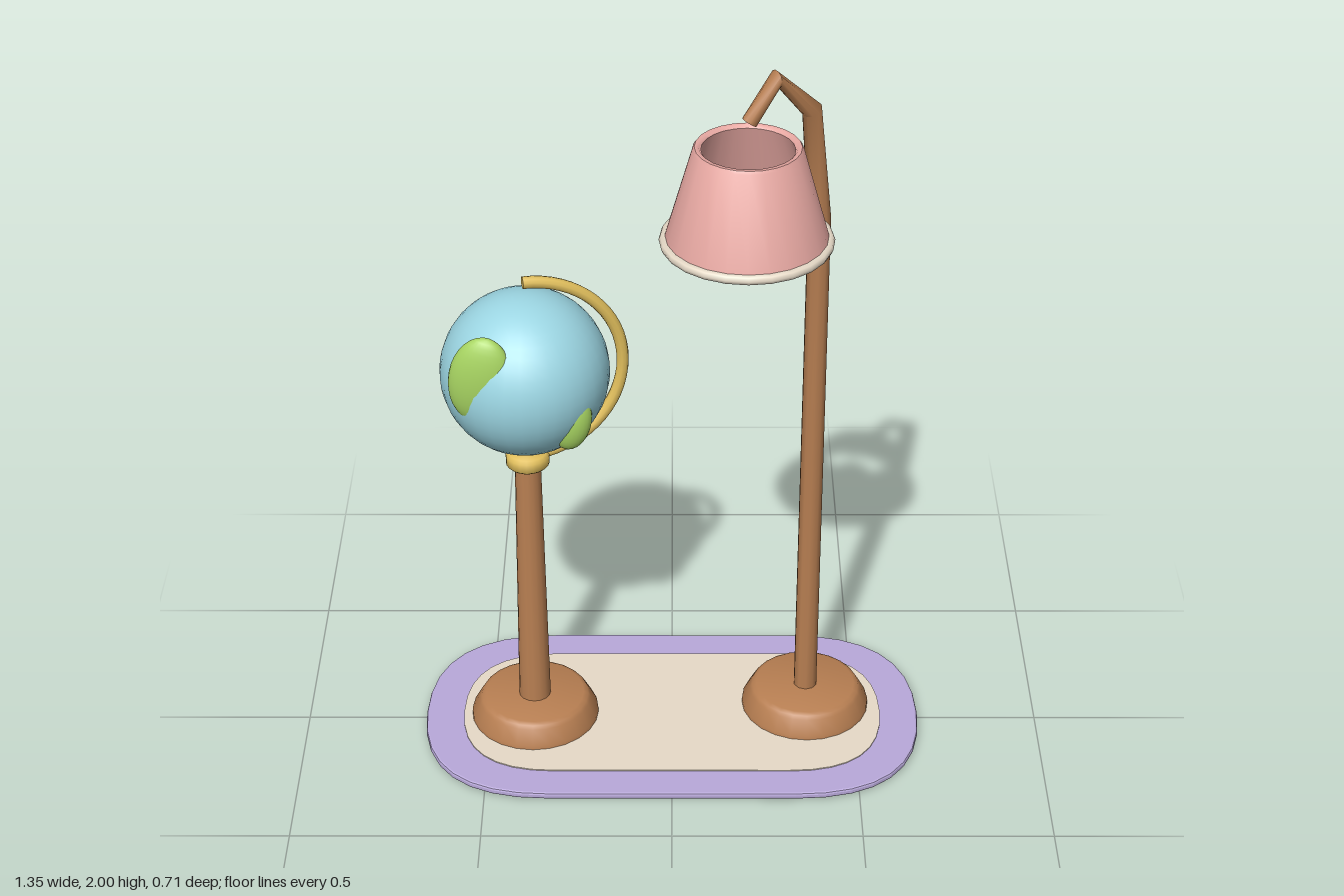
import * as THREE from 'three';
import { toCreasedNormals } from 'three/addons/utils/BufferGeometryUtils.js';

const mat = (name, color, side = THREE.FrontSide) => {
  const m = new THREE.MeshStandardMaterial({ color, side });
  m.name = name;
  return m;
};

export function createModel() {
  const wood = mat('wood', 0xb87f52);
  const purple = mat('rugPurple', 0xb9a9da);
  const backing = mat('backingDark', 0x453f4a);
  const cream = mat('cream', 0xeee1ce);
  const blue = mat('oceanBlue', 0x9cd6e3);
  const green = mat('landGreen', 0xa8d562);
  const gold = mat('gold', 0xe0be5c);
  const pink = mat('shadePink', 0xe8a9a3, THREE.DoubleSide);

  const model = new THREE.Group();
  model.name = 'globeAndLamp';
  const add = (parent, name, geo, material, x = 0, y = 0, z = 0) => {
    const mesh = new THREE.Mesh(geo, material);
    mesh.name = name;
    mesh.position.set(x, y, z);
    parent.add(mesh);
    return mesh;
  };
  const group = (name, x, z) => {
    const g = new THREE.Group();
    g.name = name;
    g.position.set(x, 0, z);
    model.add(g);
    return g;
  };
  const lathe = (pts, sides) => toCreasedNormals(
    new THREE.LatheGeometry(pts.map(p => new THREE.Vector2(...p)), sides), 0.9);

  // Rug: a slab with soft corners and a bevelled edge, a thin inlay and a dark backing
  const rugSlab = (hx, hz, r, height, bevel) => {
    const x = hx - bevel, z = hz - bevel;
    const s = new THREE.Shape();
    s.moveTo(-x + r, -z);
    s.lineTo(x - r, -z);
    s.quadraticCurveTo(x, -z, x, -z + r);
    s.lineTo(x, z - r);
    s.quadraticCurveTo(x, z, x - r, z);
    s.lineTo(-x + r, z);
    s.quadraticCurveTo(-x, z, -x, z - r);
    s.lineTo(-x, -z + r);
    s.quadraticCurveTo(-x, -z, -x + r, -z);
    return new THREE.ExtrudeGeometry(s, {
      depth: height - 2 * bevel, bevelEnabled: bevel > 0, bevelSize: bevel,
      bevelThickness: bevel, bevelSegments: 2, curveSegments: 8,
    }).rotateX(-Math.PI / 2).translate(0, bevel, 0);
  };
  add(model, 'rug', rugSlab(0.675, 0.355, 0.34, 0.019, 0.006), purple, 0, 0.003, 0);
  add(model, 'rugInlay', rugSlab(0.572, 0.26, 0.255, 0.004, 0), cream, 0, 0.021, 0);
  add(model, 'rugBacking', rugSlab(0.662, 0.342, 0.335, 0.005, 0), backing);

  // Round foot shared by both stands
  const foot = lathe([[0, 0.022], [0.174, 0.022], [0.173, 0.036], [0.152, 0.075],
    [0.146, 0.085], [0.134, 0.09], [0, 0.09]], 24);

  // Globe stand
  const globe = group('globeStand', -0.376, 0);
  add(globe, 'globeFoot', foot, wood);
  add(globe, 'globePost', new THREE.CylinderGeometry(0.034, 0.043, 0.76, 16), wood, 0, 0.465, 0);
  add(globe, 'collar', lathe([[0, 0.835], [0.05, 0.835], [0.057, 0.842], [0.057, 0.867],
    [0.05, 0.875], [0, 0.875]], 20), gold);
  add(globe, 'globeBall', new THREE.SphereGeometry(0.218, 32, 24), blue, 0, 1.12, 0);

  // Half ring holding the ball, with closed ends
  const arm = new THREE.Group();
  arm.name = 'globeArm';
  arm.position.y = 1.12;
  arm.rotation.y = 0.25;
  globe.add(arm);
  add(arm, 'armRing', new THREE.TorusGeometry(0.257, 0.016, 10, 32, Math.PI).rotateZ(-Math.PI / 2), gold);
  for (const s of [-1, 1]) {
    const cap = add(arm, 'armEnd', new THREE.CircleGeometry(0.016, 10), gold, 0, s * 0.257, 0);
    cap.rotation.y = -Math.PI / 2;
  }

  // Land masses: flattened ellipsoids half sunk into the ball
  const land = (name, pos, size, yaw, roll) => {
    const m = add(globe, name, new THREE.SphereGeometry(1, 24, 16), green, ...pos);
    m.scale.set(...size);
    m.rotation.set(0, yaw, roll);
  };
  land('largeLand', [-0.105, 1.182, 0.147], [0.08, 0.123, 0.037], -0.18, -0.2);
  land('smallLand', [0.123, 1.047, 0.13], [0.05, 0.08, 0.035], 0.15, -0.18);

  // Floor lamp
  const lamp = group('floorLamp', 0.367, -0.043);
  add(lamp, 'lampFoot', foot, wood);

  // Tapered pole that bends forward: one ring per path point [x, y, z, radius]
  const path = [[0, 0.03, 0, 0.032], [0, 1.545, 0, 0.03], [-0.028, 1.855, 0.037, 0.026],
    [-0.118, 1.977, 0.12, 0.022], [-0.183, 1.875, 0.15, 0.02], [-0.183, 1.875, 0.15, 0]];
  const pts = path.map(p => new THREE.Vector3(p[0], p[1], p[2]));
  class Polyline extends THREE.Curve {
    getPointAt(u, target = new THREE.Vector3()) {
      return target.copy(pts[Math.round(u * (pts.length - 1))]);
    }
    getTangentAt(u, target = new THREE.Vector3()) {
      const i = Math.round(u * (pts.length - 1));
      const dir = (a, b) => pts[b].clone().sub(pts[a]).normalize();
      const before = i > 0 ? dir(i - 1, i) : dir(0, 1);
      const after = i < pts.length - 1 ? dir(i, i + 1) : before;
      return target.copy(before).add(after).normalize();
    }
  }
  const sides = 10;
  const pole = new THREE.TubeGeometry(new Polyline(), pts.length - 1, 1, sides, false);
  const v = new THREE.Vector3();
  for (let i = 0; i < pole.attributes.position.count; i++) {
    const ring = Math.floor(i / (sides + 1));
    v.fromBufferAttribute(pole.attributes.position, i).sub(pts[ring])
      .multiplyScalar(path[ring][3]).add(pts[ring]);
    pole.attributes.position.setXYZ(i, v.x, v.y, v.z);
  }
  add(lamp, 'lampPole', toCreasedNormals(pole, 0.75), wood);

  // Shade with wall thickness, rim and bulb
  const head = new THREE.Group();
  head.name = 'lampHead';
  head.position.set(-0.184, 0, 0.148);
  lamp.add(head);
  add(head, 'shade', lathe([[0.204, 1.558], [0.135, 1.803], [0.13, 1.81], [0.12, 1.81],
    [0.114, 1.803], [0.188, 1.558], [0.204, 1.558]], 24), pink);
  add(head, 'shadeRim', new THREE.TorusGeometry(0.203, 0.013, 8, 24).rotateX(Math.PI / 2), cream, 0, 1.558, 0);
  add(head, 'bulb', new THREE.SphereGeometry(0.065, 20, 14), cream, 0, 1.63, 0);

  return model;
}
